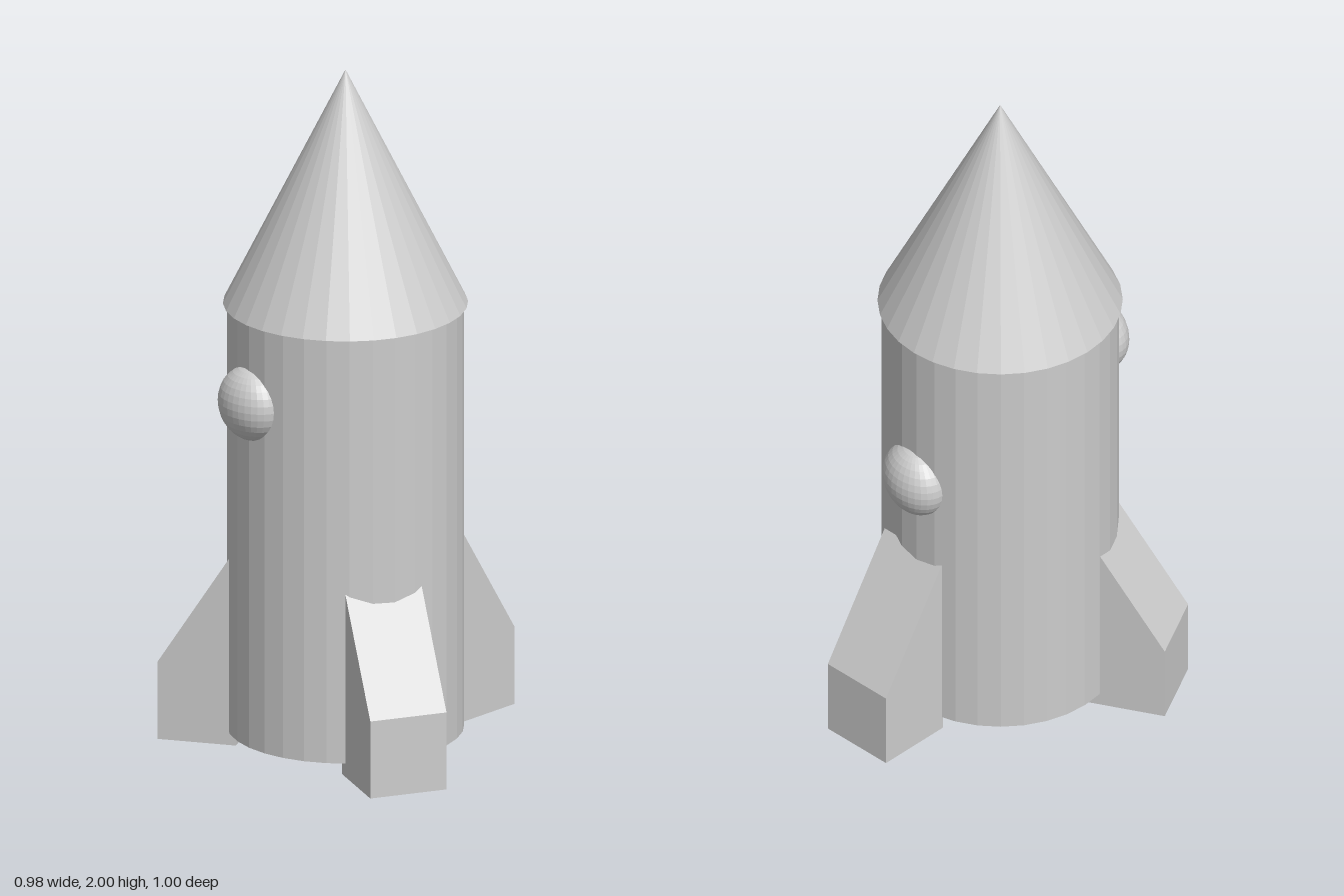
import * as THREE from 'three';

export function createModel() {
  const model = new THREE.Group();
  model.name = 'rocket';

  const grey = new THREE.MeshStandardMaterial({ color: 0xcccccc, flatShading: true });
  grey.name = 'light grey';

  const add = (name, geometry, x, y, z) => {
    const mesh = new THREE.Mesh(geometry, grey);
    mesh.name = name;
    mesh.position.set(x, y, z);
    model.add(mesh);
    return mesh;
  };

  // Rocket axis, slightly off the origin because of the uneven fins
  const AX = -0.037, AZ = 0.066;

  // Hull and slightly overhanging nose cone
  add('hull', new THREE.CylinderGeometry(0.336, 0.336, 1.265, 32), AX, 0.04 + 1.265 / 2, AZ);
  add('noseCone', new THREE.ConeGeometry(0.347, 0.695, 32), AX, 1.305 + 0.695 / 2, AZ);

  // Domed portholes, flattened in depth
  const dome = new THREE.SphereGeometry(1, 32, 16).scale(0.114, 0.108, 0.085);
  add('frontPorthole', dome, -0.053, 1.062, 0.382);
  add('backPorthole', dome, -0.075, 0.83, -0.247);

  // Fin: sloped profile, local x = 0 is the outer face and -x goes into the hull
  const DEPTH = 0.23, WIDTH = 0.23;
  const profile = new THREE.Shape([
    new THREE.Vector2(-DEPTH, 0),
    new THREE.Vector2(0, 0),
    new THREE.Vector2(0, 0.23),
    new THREE.Vector2(-DEPTH, 0.588),
  ]);
  const finGeometry = new THREE.ExtrudeGeometry(profile, { depth: WIDTH, bevelEnabled: false });
  finGeometry.translate(0, 0, -WIDTH / 2);

  // Middle of each outer face (x, z) and outward direction (ux, uz)
  const fins = [
    ['backFin', -0.118, -0.478, -0.2, -0.98],
    ['leftFin', 0.46, 0.205, 0.964, 0.265],
    ['rightFin', -0.42, 0.409, -0.775, 0.632],
  ];
  for (const [name, x, z, ux, uz] of fins) {
    add(name, finGeometry, x, 0, z).rotation.y = Math.atan2(-uz, ux);
  }

  return model;
}
